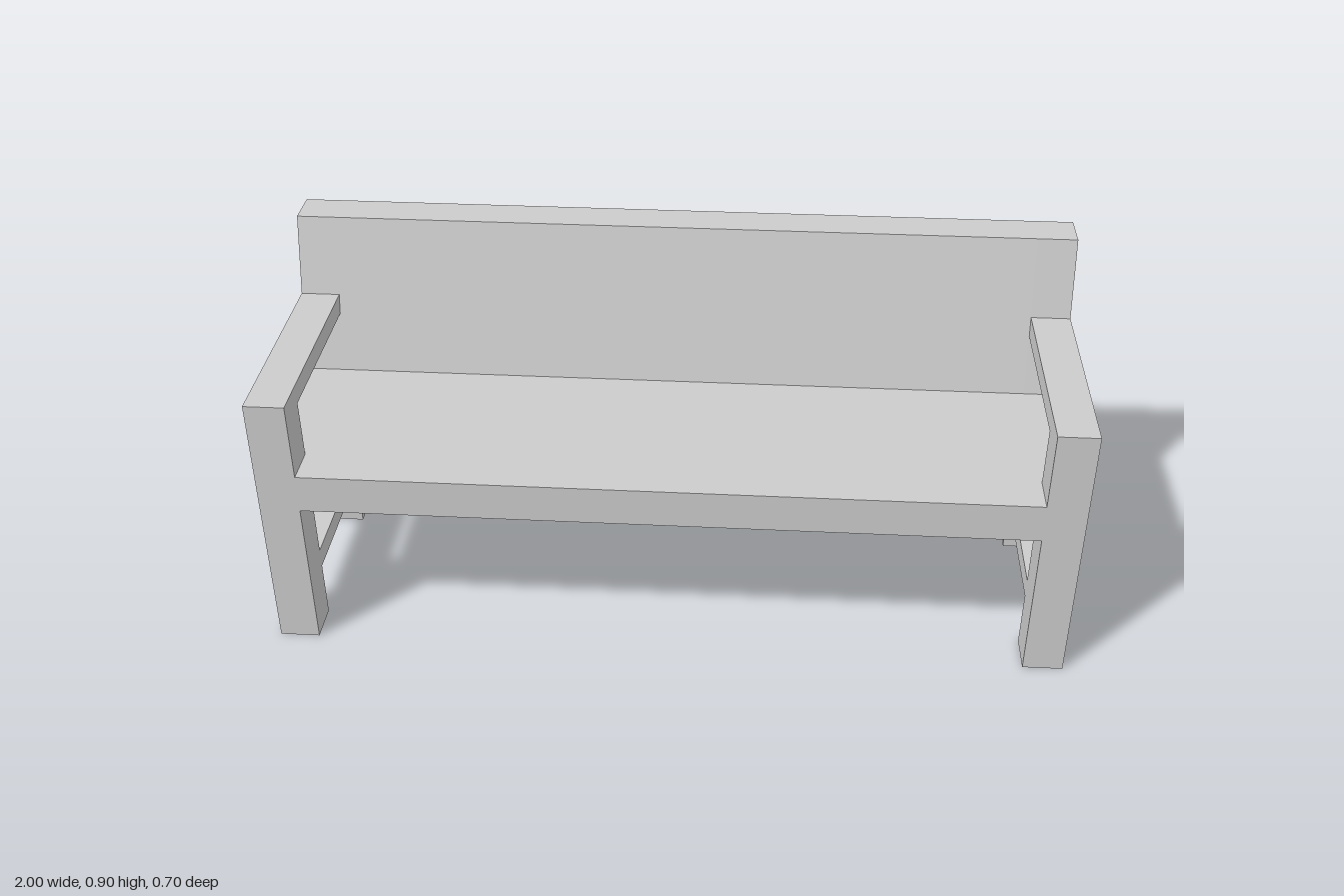
import * as THREE from 'three';

const material = new THREE.MeshStandardMaterial({ color: 0xcccccc, flatShading: true });
const sheetMaterial = new THREE.MeshStandardMaterial({ color: 0xcccccc, flatShading: true, side: THREE.DoubleSide });

const HALF = 1; // half length of the bench
const POST = 0.1; // thickness of the end frames

const points = (list) => list.map(([z, y]) => new THREE.Vector2(z, y));

// End frame: posts, armrest, seat rail and stretcher cut from one side profile (z, y)
function endFrameGeometry() {
  const shape = new THREE.Shape(points([
    [0.35, 0], [0.35, 0.7], [-0.2, 0.7], [-0.25, 0.9], [-0.35, 0.9], [-0.25, 0.5],
    [-0.25, 0], [-0.15, 0], [-0.15, 0.15], [0.25, 0.15], [0.25, 0],
  ]));
  shape.holes.push(
    new THREE.Path(points([[0.25, 0.2], [-0.15, 0.2], [-0.15, 0.4], [0.25, 0.4]])),
    new THREE.Path(points([[0.25, 0.5], [-0.15, 0.5], [-0.1875, 0.65], [0.25, 0.65]])),
  );
  const geometry = new THREE.ExtrudeGeometry(shape, { depth: POST, bevelEnabled: false });
  return geometry.rotateY(-Math.PI / 2).translate(POST / 2, 0, 0);
}

// Thin panel spanning the two end frames, from one (z, y) edge to another
function panel(name, [z0, y0], [z1, y1]) {
  const dz = z1 - z0, dy = y1 - y0;
  const geometry = new THREE.PlaneGeometry(2 * (HALF - POST), Math.hypot(dz, dy));
  geometry.rotateX(Math.atan2(dz, dy)).translate(0, (y0 + y1) / 2, (z0 + z1) / 2);
  const mesh = new THREE.Mesh(geometry, sheetMaterial);
  mesh.name = name;
  return mesh;
}

export function createModel() {
  const bench = new THREE.Group();
  bench.name = 'bench';

  // Matching frames at both ends
  const frame = endFrameGeometry();
  for (const [name, side] of [['leftEndFrame', 1], ['rightEndFrame', -1]]) {
    const mesh = new THREE.Mesh(frame, material);
    mesh.name = name;
    mesh.position.x = side * (HALF - POST / 2);
    bench.add(mesh);
  }

  // Open-backed seat and backrest panels
  bench.add(
    panel('frontApron', [0.35, 0.4], [0.35, 0.5]),
    panel('seat', [0.35, 0.5], [-0.15, 0.5]),
    panel('backrest', [-0.15, 0.5], [-0.25, 0.9]),
    panel('backrestCap', [-0.25, 0.9], [-0.35, 0.9]),
  );
  return bench;
}
